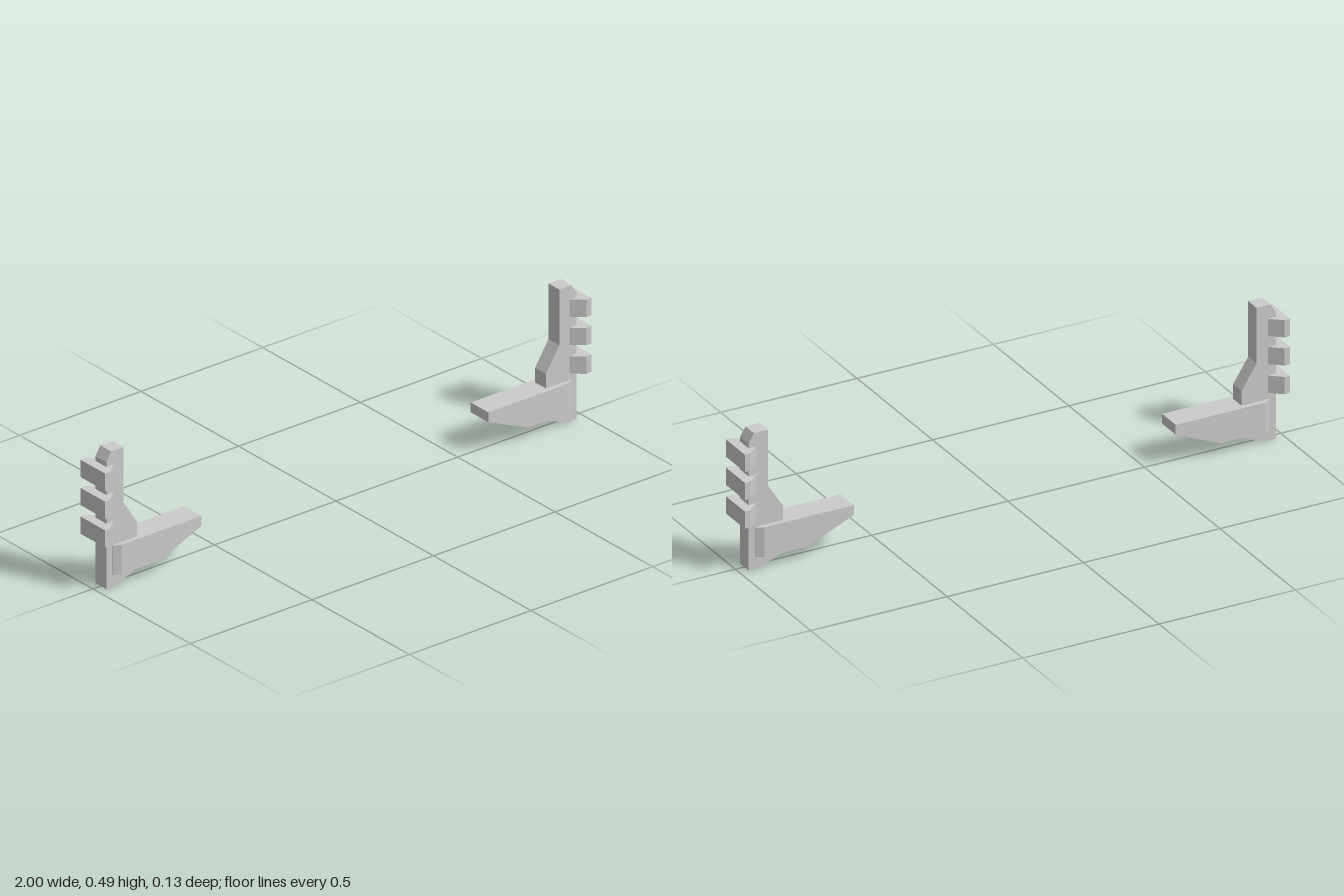
import * as THREE from 'three';
import { ConvexGeometry } from 'three/addons/geometries/ConvexGeometry.js';

const material = new THREE.MeshStandardMaterial({ color: 0xcccccc, flatShading: true });

// Extrude an outline by depth, centred on the extrusion axis
function slab(points, depth) {
  const shape = new THREE.Shape(points.map(([a, b]) => new THREE.Vector2(a, b)));
  return new THREE.ExtrudeGeometry(shape, { depth, bevelEnabled: false }).translate(0, 0, -depth / 2);
}

function part(name, geometry) {
  const mesh = new THREE.Mesh(geometry, material);
  mesh.name = name;
  return mesh;
}

function createBracket(name) {
  const bracket = new THREE.Group();
  bracket.name = name;

  // Upright post with flared foot and chamfered top
  bracket.add(part('post', slab([
    [0.967, 0], [0.967, 0.455], [0.947, 0.488], [0.896, 0.488], [0.896, 0.288],
    [0.841, 0.203], [0.841, 0.035], [0.925, 0],
  ], 0.056)));

  // Inward arm: tapered tip, narrowed at the post end; [x, y, half depth]
  const armPoints = [
    [0.59, 0.15, 0.045], [0.59, 0.115, 0.045], [0.755, 0.043, 0.045],
    [0.917, 0.15, 0.045], [0.917, 0.043, 0.045],
    [0.942, 0.15, 0.032], [0.942, 0.043, 0.032],
  ].flatMap(([x, y, z]) => [new THREE.Vector3(x, y, z), new THREE.Vector3(x, y, -z)]);
  bracket.add(part('arm', new ConvexGeometry(armPoints)));

  // Three flared blocks on the outer edge, outlined in plan
  const plan = [
    [0.937, -0.028], [0.979, -0.063], [1, -0.063],
    [1, 0.063], [0.979, 0.063], [0.937, 0.028],
  ];
  [0.204, 0.307, 0.408].forEach((y, i) => {
    const block = part(`block${i + 1}`, slab(plan, 0.062).rotateX(Math.PI / 2));
    block.position.y = y;
    bracket.add(block);
  });
  return bracket;
}

export function createModel() {
  const model = new THREE.Group();
  model.name = 'bracketPair';
  const left = createBracket('leftBracket');
  const right = createBracket('rightBracket');
  // Each bracket is symmetric in z, so a half turn mirrors it
  right.rotation.y = Math.PI;
  model.add(left, right);
  return model;
}
